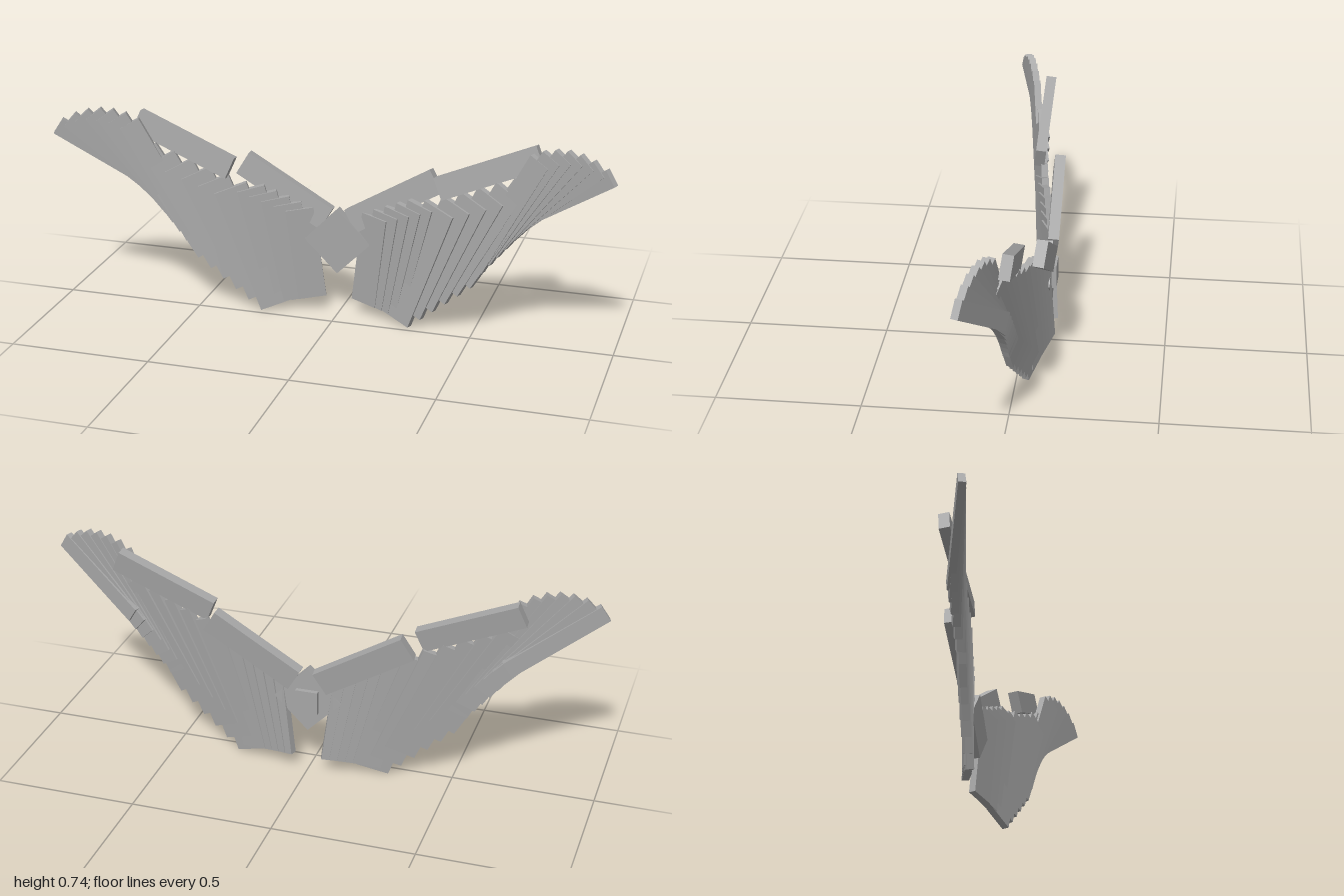
import * as THREE from 'three';

const grey = new THREE.MeshStandardMaterial({ color: 0xa6a6a6 });
grey.name = 'grey';

// Box whose length runs from a to b, with its broad face turned towards `facing`
function slab(name, a, b, width, thickness, facing, side) {
  const start = new THREE.Vector3(a[0] * side, a[1], a[2]);
  const end = new THREE.Vector3(b[0] * side, b[1], b[2]);
  const along = end.clone().sub(start);
  const length = along.length();
  along.normalize();
  const normal = new THREE.Vector3(facing[0] * side, facing[1], facing[2]);
  normal.addScaledVector(along, -normal.dot(along)).normalize();
  const across = new THREE.Vector3().crossVectors(along, normal);
  const mesh = new THREE.Mesh(new THREE.BoxGeometry(width, length, thickness), grey);
  mesh.quaternion.setFromRotationMatrix(new THREE.Matrix4().makeBasis(across, along, normal));
  mesh.position.copy(start).add(end).multiplyScalar(0.5);
  mesh.name = name;
  return mesh;
}

const mix = (a, b, t) => a.map((v, i) => v + (b[i] - v) * t);

// Fan of feathers between a first and a last root/end pair; the ends bow upwards by `bow`
function fan(name, count, roots, ends, widths, bow, side) {
  const group = new THREE.Group();
  group.name = name;
  for (let i = 0; i < count; i++) {
    const t = i / (count - 1);
    const end = mix(ends[0], ends[1], t);
    end[1] += bow * 4 * t * (1 - t);
    const width = widths[0] + (widths[1] - widths[0]) * t;
    group.add(slab('feather', mix(roots[0], roots[1], t), end, width, 0.025, [-0.34, 0, 1], side));
  }
  return group;
}

function wing(side) {
  const group = new THREE.Group();
  group.name = side > 0 ? 'leftWing' : 'rightWing';
  // Arm bars along the leading edge
  group.add(slab('innerArm', [0.045, 0.355, -0.093], [0.352, 0.536, -0.089], 0.09, 0.038, [0, 0.14, 1], side));
  group.add(slab('outerArm', [0.375, 0.535, -0.016], [0.722, 0.681, -0.02], 0.081, 0.037, [0, 0.14, 1], side));
  // Three overlapping feather fans from the body to the wing tip
  group.add(fan('innerFeathers', 5, [[0.098, 0.052, -0.086], [0.205, 0.04, -0.06]],
    [[0.14, 0.39, -0.068], [0.31, 0.46, -0.037]], [0.1, 0.1], 0, side));
  group.add(fan('middleFeathers', 6, [[0.222, 0.022, -0.05], [0.46, 0.215, -0.018]],
    [[0.38, 0.46, -0.022], [0.685, 0.585, 0.02]], [0.12, 0.1], 0, side));
  group.add(fan('outerFeathers', 7, [[0.51, 0.27, -0.008], [0.675, 0.465, -0.008]],
    [[0.73, 0.685, 0.038], [0.974, 0.672, 0.098]], [0.075, 0.062], 0.04, side));
  return group;
}

export function createModel() {
  const model = new THREE.Group();
  model.name = 'wings';
  // Diamond plate joining the wings
  const plate = new THREE.Mesh(new THREE.BoxGeometry(0.17, 0.17, 0.035), grey);
  plate.name = 'centrePlate';
  plate.position.set(0, 0.28, -0.081);
  plate.rotation.z = Math.PI / 4;
  // Small mounting block behind the plate
  const mount = new THREE.Mesh(new THREE.BoxGeometry(0.08, 0.085, 0.03), grey);
  mount.name = 'backMount';
  mount.position.set(0, 0.2775, -0.1);
  model.add(plate, mount, wing(1), wing(-1));
  return model;
}
